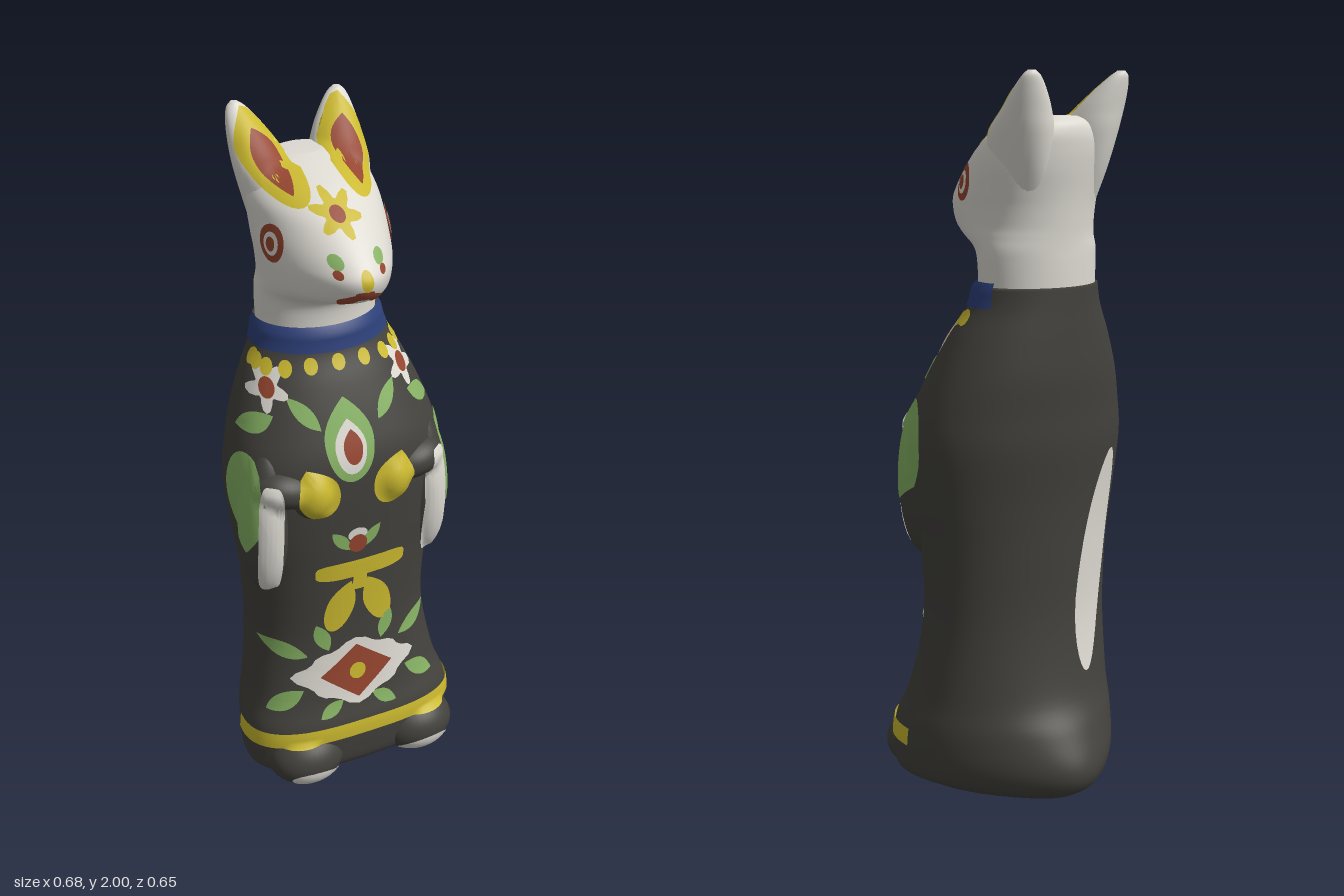
import * as THREE from 'three';

const mat = (name, color, side = THREE.FrontSide) => {
  const m = new THREE.MeshStandardMaterial({ color, side });
  m.name = name;
  return m;
};
const C = {
  black: mat('charcoal glaze', 0x42413c),
  white: mat('ivory glaze', 0xdddad2, THREE.DoubleSide),
  yellow: mat('yellow paint', 0xcbb92f, THREE.DoubleSide),
  red: mat('rust paint', 0x95452f, THREE.DoubleSide),
  green: mat('green paint', 0x86b263, THREE.DoubleSide),
  blue: mat('blue paint', 0x2c3f78, THREE.DoubleSide),
};

function makeGeometry(pos, index) {
  const g = new THREE.BufferGeometry();
  g.setAttribute('position', new THREE.Float32BufferAttribute(pos, 3));
  g.setIndex(index);
  g.computeVertexNormals();
  return g;
}

// Smooth loft through horizontal sections [y, centreX, halfWidth, zBack, zFront, taper, front exponent (below 1 is squarer)]
function loft(rows, seg = 72, sub = 6) {
  const pos = [], index = [], rings = [];
  const row = i => rows[Math.min(rows.length - 1, Math.max(0, i))];
  for (let i = 0; i < rows.length - 1; i++) {
    for (let s = 0; s < sub + (i === rows.length - 2 ? 1 : 0); s++) {
      const t = s / sub;
      rings.push(row(i).map((b, k) => {
        const a = row(i - 1)[k], c = row(i + 1)[k], d = row(i + 2)[k];
        return b + 0.5 * t * (c - a + t * (2 * a - 5 * b + 4 * c - d + t * (3 * (b - c) + d - a)));
      }));
    }
  }
  const cap = r => [r[0], r[1], 0, (r[3] + r[4]) / 2, (r[3] + r[4]) / 2, 0, 1];
  rings.unshift(cap(rings[0]));
  rings.push(cap(rings[rings.length - 1]));
  rings.forEach(([y, cx, a, zb, zf, k, q], j) => {
    for (let i = 0; i < seg; i++) {
      const t = i / seg * Math.PI * 2, e = Math.cos(t) > 0 ? q : 1;
      const s = Math.sign(Math.sin(t)) * Math.abs(Math.sin(t)) ** e;
      const c = Math.sign(Math.cos(t)) * Math.abs(Math.cos(t)) ** e;
      pos.push(cx + a * s * (1 + k * c), y, (zb + zf) / 2 + (zf - zb) / 2 * c);
      if (j === 0) continue;
      const n = (i + 1) % seg, lo = (j - 1) * seg, hi = j * seg;
      index.push(lo + i, lo + n, hi + n, lo + i, hi + n, hi + i);
    }
  });
  return makeGeometry(pos, index);
}

// Outlines for painted shapes, theta -> [u, v] in a unit square
const cos = Math.cos, sin = Math.sin;
const OVAL = t => [cos(t), sin(t)];
const LEAF = t => [cos(t) * Math.abs(cos(t)), sin(t)];
const DROP = t => [cos(t) * (sin(t) > 0 ? Math.abs(cos(t)) : 1), sin(t)];
const DIAMOND = t => OVAL(t).map(v => v / (Math.abs(cos(t)) + Math.abs(sin(t))));
const BAR = t => OVAL(t).map(v => Math.sign(v) * Math.abs(v) ** 0.45);
const FLOWER = n => t => OVAL(t).map(v => v * (0.74 + 0.26 * cos(n * t + Math.PI / 2)));
const CROSS = t => OVAL(t).map(v => v * (0.86 + 0.08 * cos(4 * t) + 0.06 * cos(8 * t)));

export function createModel() {
  const model = new THREE.Group();
  model.name = 'standingFigurine';
  const figure = new THREE.Group();
  figure.name = 'figure';
  const solids = [];
  const add = (name, geometry, material, solid = false) => {
    const m = new THREE.Mesh(geometry, material);
    m.name = name;
    figure.add(m);
    if (solid) solids.push(m);
    return m;
  };
  const ball = (name, x, y, z, sx, sy, sz, tilt = 0) => {
    const g = new THREE.SphereGeometry(1, 32, 24).scale(sx, sy, sz).rotateZ(tilt).translate(x, y, z);
    add(name, g, C.black, true);
  };

  // Robe
  add('robe', loft([
    [0.015, 0.025, 0.24, -0.32, 0.15, 0.4, 0.85], [0.05, 0.025, 0.29, -0.365, 0.185, 0.4, 0.8],
    [0.11, 0.025, 0.305, -0.378, 0.195, 0.36, 0.8], [0.2, 0.025, 0.31, -0.335, 0.195, 0.24, 0.78],
    [0.3, 0.022, 0.296, -0.28, 0.168, 0.1, 0.79], [0.5, 0.018, 0.277, -0.248, 0.148, 0, 0.86],
    [0.7, 0.018, 0.286, -0.25, 0.148, 0, 0.86], [0.85, 0.018, 0.307, -0.258, 0.152, 0, 0.83],
    [1.0, 0.018, 0.32, -0.275, 0.155, 0, 0.82], [1.1, 0.018, 0.309, -0.278, 0.148, 0, 0.84],
    [1.2, 0.016, 0.28, -0.282, 0.112, 0, 0.9], [1.3, 0.014, 0.238, -0.278, 0.066, 0, 0.95],
    [1.38, 0.012, 0.196, -0.274, 0.024, 0, 1], [1.44, 0.01, 0.181, -0.272, 0.012, 0, 1],
  ]), C.black, true);

  // Head and neck
  const head = add('head', loft([
    [1.4, 0.01, 0.17, -0.266, -0.002, 0, 1], [1.5, 0.01, 0.174, -0.265, 0, 0, 1],
    [1.54, 0.01, 0.173, -0.264, 0.035, -0.08, 1], [1.57, 0.01, 0.17, -0.264, 0.12, -0.18, 1],
    [1.6, 0.008, 0.168, -0.265, 0.178, -0.24, 1], [1.65, 0.006, 0.17, -0.268, 0.202, -0.27, 1],
    [1.69, 0.005, 0.173, -0.272, 0.18, -0.27, 1], [1.75, 0.004, 0.176, -0.28, 0.112, -0.22, 1],
    [1.8, 0, 0.174, -0.284, 0.045, -0.15, 1], [1.84, 0, 0.157, -0.283, -0.02, -0.1, 1],
    [1.87, 0, 0.12, -0.272, -0.095, 0, 1], [1.885, 0, 0.06, -0.245, -0.15, 0, 1],
  ]), C.white, true);

  const ears = {};
  for (const s of [-1, 1]) {
    const side = s > 0 ? 'left' : 'right';
    // Ears
    ears[s] = add(side + 'Ear', loft([
      [1.62, s * 0.075, 0.06, -0.22, -0.08, 0, 1], [1.74, s * 0.094, 0.072, -0.265, -0.05, 0, 1],
      [1.84, s * 0.107, 0.078, -0.289, -0.09, 0, 1], [1.9, s * 0.12, 0.066, -0.296, -0.165, 0, 1],
      [1.95, s * 0.134, 0.047, -0.302, -0.222, 0, 1], [1.985, s * 0.144, 0.027, -0.304, -0.262, 0, 1],
      [2, s * 0.147, 0.01, -0.298, -0.278, 0, 1],
    ], 36), C.white, true);
    // Arms, hands and feet
    ball(side + 'Arm', s * 0.243 + 0.014, 0.91, 0.043, 0.075, 0.23, 0.085, s * 0.04);
    ball(side + 'Forearm', s * 0.19 + 0.01, 1.03, 0.072, 0.1, 0.06, 0.085, s * 0.2);
    ball(side + 'Hand', s * 0.118, 1.015, 0.112, 0.065, 0.08, 0.06);
    ball(side + 'Foot', s * 0.184 + 0.03, 0.09, 0.13, 0.12, 0.09, 0.1);
  }
  figure.updateMatrixWorld(true);

  const caster = new THREE.Raycaster();
  const hitPoint = (origin, dir, lift, targets) => {
    caster.set(origin, dir);
    const hit = caster.intersectObjects(targets, false)[0];
    return hit && hit.point.addScaledVector(dir, -lift);
  };

  // Thin painted shape laid onto the solids, seen from the given yaw; points off the edge are drawn back in
  function paint(name, color, shape, [x, y, z = 0], w, h, { yaw = 0, rot = 0, layer = 1, on = solids } = {}) {
    const n = new THREE.Vector3(sin(yaw), 0, cos(yaw)), U = new THREE.Vector3(cos(yaw), 0, -sin(yaw));
    const dir = n.clone().negate(), seg = 36, rings = Math.max(3, Math.ceil(Math.max(w, h) / 0.02));
    const pos = [], index = [];
    const put = (u, v) => {
      for (let f = 1; f > -0.01; f -= 0.04) {
        const o = new THREE.Vector3(x, y, z).add(n);
        o.addScaledVector(U, f * (u * cos(rot) - v * sin(rot))).y += f * (u * sin(rot) + v * cos(rot));
        const p = hitPoint(o, dir, 0.002 + 0.002 * layer, on);
        if (p) return pos.push(p.x, p.y, p.z);
      }
      return pos.push(x, y, z);
    };
    put(0, 0);
    for (let r = 1; r <= rings; r++) {
      for (let i = 0; i < seg; i++) {
        const [u, v] = shape(i / seg * Math.PI * 2);
        put(u * w * r / rings, v * h * r / rings);
        const j = (i + 1) % seg, a = 1 + (r - 1) * seg, b = a - seg;
        if (r === 1) index.push(0, a + i, a + j);
        else index.push(b + i, a + i, a + j, b + i, a + j, b + j);
      }
    }
    add(name, makeGeometry(pos, index), C[color]);
  }

  // Painted band wrapped around the front, its ends lower by dip
  function band(name, color, y0, y1, span, dip = 0) {
    const pos = [], index = [], n = 80, m = 4;
    for (let i = 0; i <= n; i++) for (let j = 0; j <= m; j++) {
      const f = i / n * 2 - 1, t = f * span, y = y0 + (y1 - y0) * j / m - dip * f * f;
      const dir = new THREE.Vector3(-sin(t), 0, -cos(t));
      const p = hitPoint(new THREE.Vector3(0, y, -0.1).sub(dir), dir, 0.006, solids);
      pos.push(p.x, p.y, p.z);
      const a = i * (m + 1) + j, b = a + m + 1;
      if (i < n && j < m) index.push(a, b, b + 1, a, b + 1, a + 1);
    }
    add(name, makeGeometry(pos, index), C[color]);
  }

  band('collar', 'blue', 1.385, 1.452, 1.95);
  band('hemStripe', 'yellow', 0.163, 0.213, 1.3, 0.025);
  for (let i = -6; i <= 6; i++) {
    const t = i * 0.235;
    paint('collarBead', 'yellow', OVAL, [0.2 * sin(t), 1.352 + 0.006 * cos(t * 5), -0.1], 0.019, 0.021, { yaw: t });
  }

  // Chest drop, tulip, sash and medallion along the middle
  paint('dropOuter', 'green', DROP, [-0.01, 1.16], 0.072, 0.115);
  paint('dropMiddle', 'white', DROP, [-0.01, 1.145], 0.046, 0.075, { layer: 2 });
  paint('dropCore', 'red', DROP, [-0.005, 1.145], 0.028, 0.048, { layer: 3 });
  paint('tulipTip', 'white', OVAL, [0.004, 0.865], 0.03, 0.022);
  paint('tulip', 'red', OVAL, [0.004, 0.835], 0.028, 0.03, { layer: 2 });
  paint('sashBar', 'yellow', BAR, [0.02, 0.745], 0.14, 0.029);
  paint('sashKnot', 'yellow', BAR, [0.014, 0.7], 0.022, 0.03);
  paint('medallionPetals', 'white', CROSS, [0.002, 0.38], 0.198, 0.115);
  paint('medallionDiamond', 'red', DIAMOND, [0.002, 0.38], 0.115, 0.092, { layer: 2 });
  paint('medallionCentre', 'yellow', OVAL, [0.002, 0.38], 0.026, 0.028, { layer: 3 });

  // Face
  paint('foreheadFlower', 'yellow', FLOWER(6), [-0.012, 1.795], 0.068, 0.052);
  paint('foreheadFlowerCentre', 'red', OVAL, [-0.012, 1.795], 0.02, 0.016, { layer: 2 });
  paint('noseTip', 'yellow', OVAL, [0.004, 1.662], 0.017, 0.028);
  paint('mouthMiddle', 'red', BAR, [0, 1.622], 0.026, 0.014);

  for (const s of [-1, 1]) {
    const leaf = (x, y, w, h, lean, yaw = 0) =>
      paint('leaf', 'green', LEAF, [s * x, y], w, h, { rot: s * lean, yaw: s * yaw });
    // Ear linings, eyes and muzzle
    const lining = [ears[s], head];
    paint('earRim', 'yellow', DROP, [s * 0.114, 1.9], 0.068, 0.098, { rot: -s * 0.28, on: lining });
    paint('earLining', 'red', LEAF, [s * 0.114, 1.888], 0.038, 0.064, { rot: -s * 0.26, layer: 2, on: lining });
    const eye = [s * 0.142, 1.71, -0.035];
    paint('eyeRing', 'red', OVAL, eye, 0.045, 0.05, { yaw: s * 1.05 });
    paint('eyeWhite', 'white', OVAL, eye, 0.027, 0.031, { yaw: s * 1.05, layer: 2 });
    paint('pupil', 'red', OVAL, eye, 0.016, 0.019, { yaw: s * 1.05, layer: 3 });
    paint('whiskerSpot', 'green', OVAL, [s * 0.058, 1.705], 0.017, 0.017);
    paint('nostril', 'red', OVAL, [s * 0.06, 1.678], 0.011, 0.011);
    paint('mouthCorner', 'red', BAR, [s * 0.038, 1.606], 0.022, 0.014, { rot: -s * 0.5 });

    // Shoulder flowers and leaves
    paint('shoulderFlower', 'white', FLOWER(5), [s * 0.197, 1.3], 0.062, 0.062, { yaw: s * 0.4 });
    paint('shoulderFlowerCentre', 'red', OVAL, [s * 0.197, 1.3], 0.022, 0.025, { yaw: s * 0.4, layer: 2 });
    leaf(0.235, 1.21, 0.024, 0.055, 1.1, 0.3);
    leaf(0.12, 1.24, 0.022, 0.055, -0.7);

    // Sleeves and hands
    paint('sleeveGreen', 'green', DROP, [s * 0.3 + 0.014, 0.985, 0.04], 0.08, 0.145, { yaw: s * 0.85, rot: Math.PI - s * 0.1 });
    paint('sleeveWhite', 'white', BAR, [s * 0.249 + 0.012, 0.885, 0.1], 0.036, 0.185, { yaw: s * 0.35, rot: s * 0.04, layer: 2 });
    paint('handPaint', 'yellow', DROP, [s * 0.115, 1.025], 0.062, 0.08, { rot: -s * 0.35, layer: 2 });

    // Sash tails and skirt leaves
    paint('sashTail', 'yellow', DROP, [s * 0.057 + 0.012, 0.62], 0.042, 0.09, { rot: s * 0.35 });
    leaf(0.045, 0.85, 0.018, 0.045, -0.7);
    leaf(0.185, 0.475, 0.026, 0.07, -1.25, 0.2);
    leaf(0.1, 0.515, 0.023, 0.05, -0.35);
    leaf(0.19, 0.305, 0.026, 0.065, 1.0, 0.2);
    leaf(0.085, 0.265, 0.02, 0.045, 1.0);
    paint('toePaint', 'white', OVAL, [s * 0.182 + 0.03, 0.054], 0.08, 0.034, { rot: s * 0.12 });
  }

  // Tail painted on the back
  paint('tail', 'white', OVAL, [-0.115, 0.66, -0.2], 0.065, 0.32, { yaw: Math.PI + 0.3, rot: -0.17 });

  // Turned to face diagonally
  figure.position.x = -0.015;
  const turn = new THREE.Group();
  turn.name = 'turnedFigure';
  turn.rotation.y = Math.PI / 4;
  turn.add(figure);
  model.add(turn);
  return model;
}
